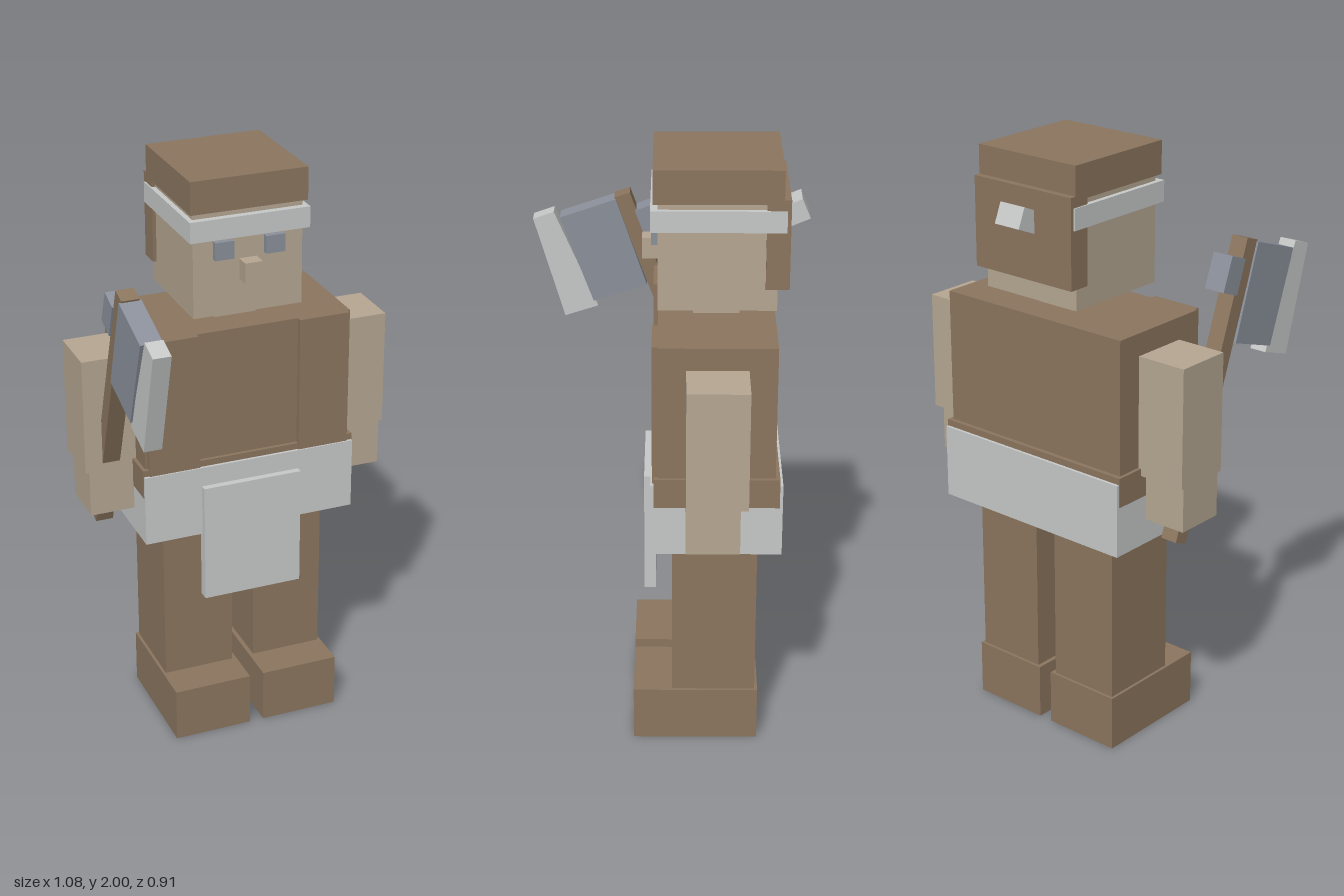
import * as THREE from 'three';

const material = (name, color) => {
  const m = new THREE.MeshStandardMaterial({ color });
  m.name = name;
  return m;
};

export function createModel() {
  const brown = material('brown leather', 0x8c765f);
  const tan = material('tan skin', 0xb7a893);
  const white = material('pale cloth', 0xc8caca);
  const steel = material('blue grey steel', 0x8c919c);
  const model = new THREE.Group();
  model.name = 'blockFigure';

  const add = (name, geometry, mat, parent = model) => {
    const mesh = new THREE.Mesh(geometry, mat);
    mesh.name = name;
    parent.add(mesh);
    return mesh;
  };

  // Box given by its extents along each axis
  const block = (name, mat, [x0, x1], [y0, y1], [z0, z1], parent) => {
    const mesh = add(name, new THREE.BoxGeometry(x1 - x0, y1 - y0, z1 - z0), mat, parent);
    mesh.position.set((x0 + x1) / 2, (y0 + y1) / 2, (z0 + z1) / 2);
    return mesh;
  };

  // Side outline in (z, y), extruded symmetrically along x
  const plate = (name, mat, outline, width, parent) => {
    const shape = new THREE.Shape(outline.map(([z, y]) => new THREE.Vector2(z, y)));
    const geometry = new THREE.ExtrudeGeometry(shape, { depth: width, bevelEnabled: false });
    geometry.translate(0, 0, -width / 2).rotateY(-Math.PI / 2);
    return add(name, geometry, mat, parent);
  };

  // Limbs, vest flaps and eyes, one set per side
  for (const [side, s] of [['left', 1], ['right', -1]]) {
    const mirrored = (name, mat, [a, b], y, z) =>
      block(`${side}${name}`, mat, s > 0 ? [a, b] : [-b, -a], y, z);
    mirrored('Foot', brown, [0.025, 0.3], [0, 0.19], [-0.31, 0.11]);
    mirrored('Leg', brown, [0.04, 0.29], [0.19, 0.77], [-0.3, -0.02]);
    mirrored('UpperArm', tan, [0.36, 0.54], [1.005, 1.405], [-0.26, -0.063]);
    mirrored('Hand', tan, [0.37, 0.527], [0.845, 1.005], [-0.235, -0.063]);
    mirrored('VestFlap', brown, [0.177, 0.355], [1.005, 1.48], [0.02, 0.045]);
    mirrored('Eye', steel, [0.055, 0.12], [1.73, 1.79], [0.02, 0.048]);
  }

  // Torso and clothing
  block('torso', brown, [-0.364, 0.364], [1, 1.48], [-0.35, 0.027]);
  block('belt', brown, [-0.376, 0.376], [0.93, 1.03], [-0.365, 0.04]);
  block('skirt', white, [-0.374, 0.374], [0.76, 1.008], [-0.375, 0.05]);
  block('apron', white, [-0.174, 0.174], [0.52, 0.94], [0.035, 0.073]);

  // Head
  block('neck', tan, [-0.073, 0.073], [1.47, 1.54], [-0.235, -0.085]);
  block('head', tan, [-0.188, 0.188], [1.535, 1.895], [-0.35, 0.027]);
  block('nose', tan, [-0.03, 0.03], [1.65, 1.72], [0.02, 0.078]);
  block('topHair', brown, [-0.2, 0.2], [1.89, 2], [-0.365, 0.042]);
  block('backHair', brown, [-0.2, 0.2], [1.61, 1.905], [-0.387, -0.312]);
  block('headband', white, [-0.205, 0.205], [1.8, 1.87], [-0.375, 0.05]);
  const knot = block('headbandKnot', white, [-0.05, 0.05], [1.77, 1.84], [-0.45, -0.35]);
  knot.position.set(0, 1.806, -0.397);
  knot.rotation.x = 0.4;

  // Axe held in the right hand
  const axe = new THREE.Group();
  axe.name = 'axe';
  axe.position.x = -0.45;
  model.add(axe);
  plate('axeHandle', brown, [[0.18, 1.7], [-0.16, 0.765], [-0.21, 0.785], [0.127, 1.717]], 0.06, axe);
  plate('axeHead', steel, [[0.366, 1.63], [0.255, 1.325], [0.07, 1.385], [0.175, 1.695]], 0.074, axe);
  plate('axeBlade', white, [[0.458, 1.623], [0.355, 1.268], [0.24, 1.305], [0.387, 1.648]], 0.06, axe);
  plate('axeBackKnob', steel, [[0.11, 1.655], [0.07, 1.543], [0, 1.57], [0.042, 1.68]], 0.074, axe);

  return model;
}
